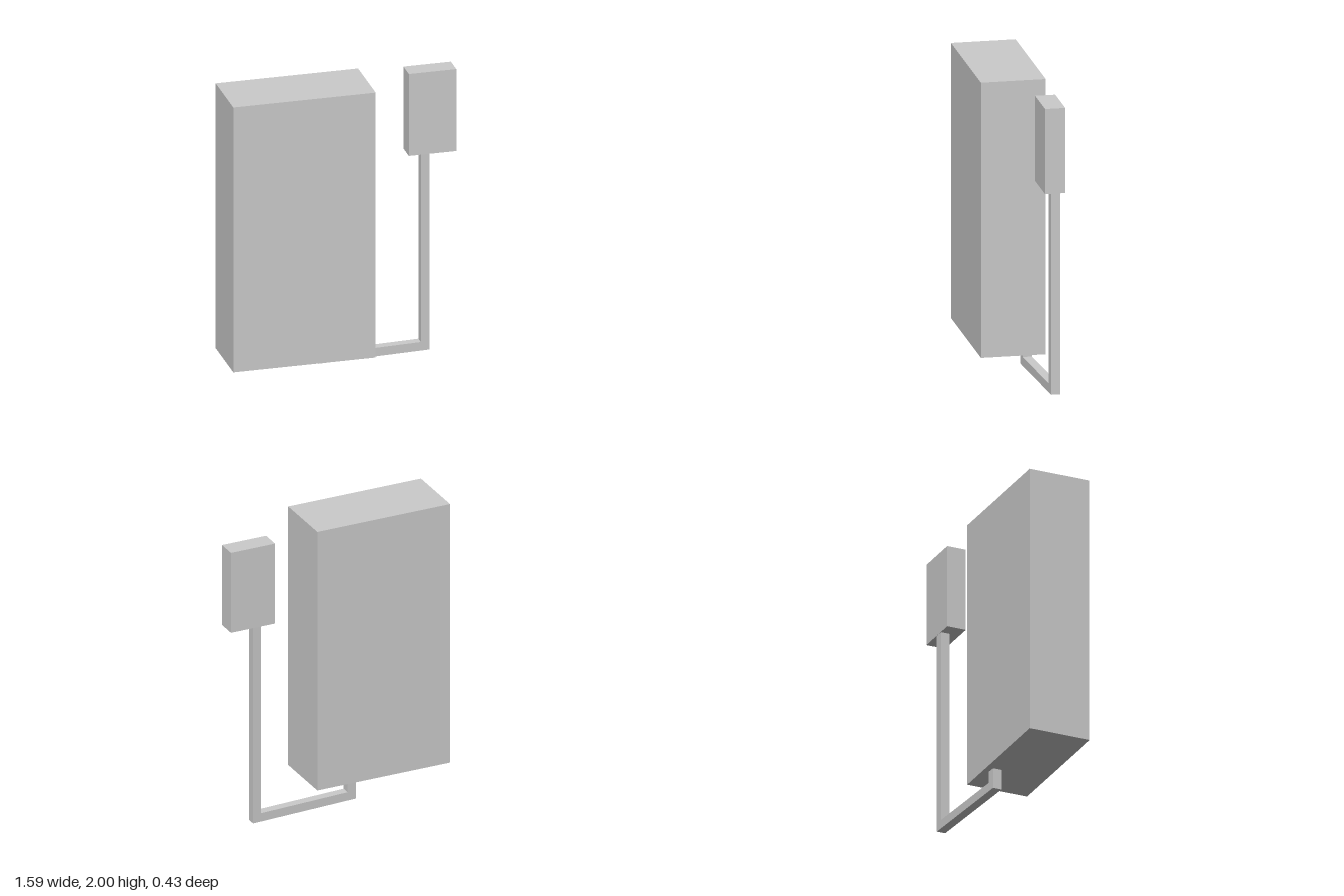
import * as THREE from 'three';

export function createModel() {
  const model = new THREE.Group();
  const material = new THREE.MeshStandardMaterial({ color: 0xcccccc, flatShading: true });

  const add = (name, geometry) => {
    const mesh = new THREE.Mesh(geometry, material);
    mesh.name = name;
    model.add(mesh);
  };
  // Box given by its lower and upper corners
  const addBox = (name, [x0, y0, z0], [x1, y1, z1]) => {
    const box = new THREE.BoxGeometry(x1 - x0, y1 - y0, z1 - z0);
    add(name, box.translate((x0 + x1) / 2, (y0 + y1) / 2, (z0 + z1) / 2));
  };

  addBox('mainCabinet', [-0.795, 0.14, -0.215], [0.165, 2, 0.215]);
  addBox('smallBox', [0.47, 1.405, -0.215], [0.79, 1.98, -0.082]);

  // Square conduit: short stub, bottom run and tall riser in one U-shaped outline
  const left = -0.135, right = 0.63, width = 0.06;
  const outline = new THREE.Shape([
    [left, 0], [right, 0], [right, 1.405], [right - width, 1.405],
    [right - width, width], [left + width, width], [left + width, 0.14], [left, 0.14],
  ].map(([x, y]) => new THREE.Vector2(x, y)));
  const conduit = new THREE.ExtrudeGeometry(outline, { depth: width, bevelEnabled: false });

  // The bottom run drifts backwards towards the riser
  const pos = conduit.attributes.position;
  for (let i = 0; i < pos.count; i++) {
    const t = (pos.getX(i) - left) / (right - left);
    pos.setZ(i, pos.getZ(i) - 0.17 - 0.045 * t);
  }
  conduit.computeVertexNormals();
  add('conduit', conduit);

  return model;
}
